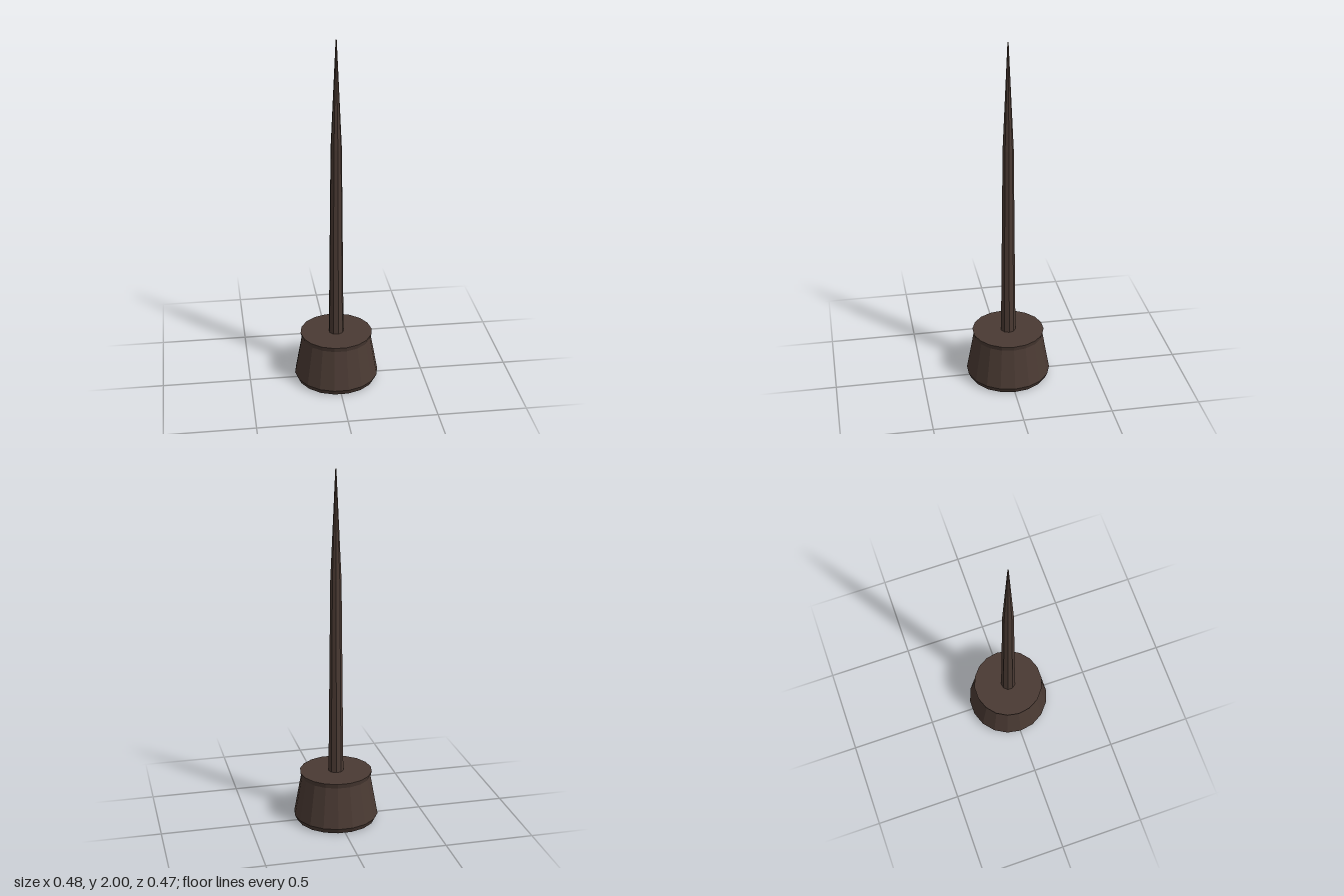
import * as THREE from 'three';

// Faceted turned part; profile runs from the bottom up as [radius, y]
function turned(name, profile, sides, material) {
  const points = profile.map(([r, y]) => new THREE.Vector2(r, y));
  const geometry = new THREE.LatheGeometry(points, sides)
    .rotateY(Math.PI / 2) // puts a corner on +x
    .toNonIndexed();
  geometry.computeVertexNormals(); // one normal per face
  const mesh = new THREE.Mesh(geometry, material);
  mesh.name = name;
  return mesh;
}

export function createModel() {
  const model = new THREE.Group();
  model.name = 'spikeOnBase';

  const darkBrown = new THREE.MeshStandardMaterial({ color: 0x4a3a33 });
  darkBrown.name = 'darkBrown';

  // Tapered base with a chamfered foot and a slight lip at the top
  model.add(turned('base', [
    [0, 0], [0.225, 0], [0.24, 0.03], [0.198, 0.26], [0.205, 0.287], [0, 0.287],
  ], 18, darkBrown));

  // Slender shaft that narrows to a point
  model.add(turned('spike', [
    [0, 0.27], [0.043, 0.27], [0.031, 1.4], [0.003, 2], [0, 2],
  ], 9, darkBrown));

  return model;
}
